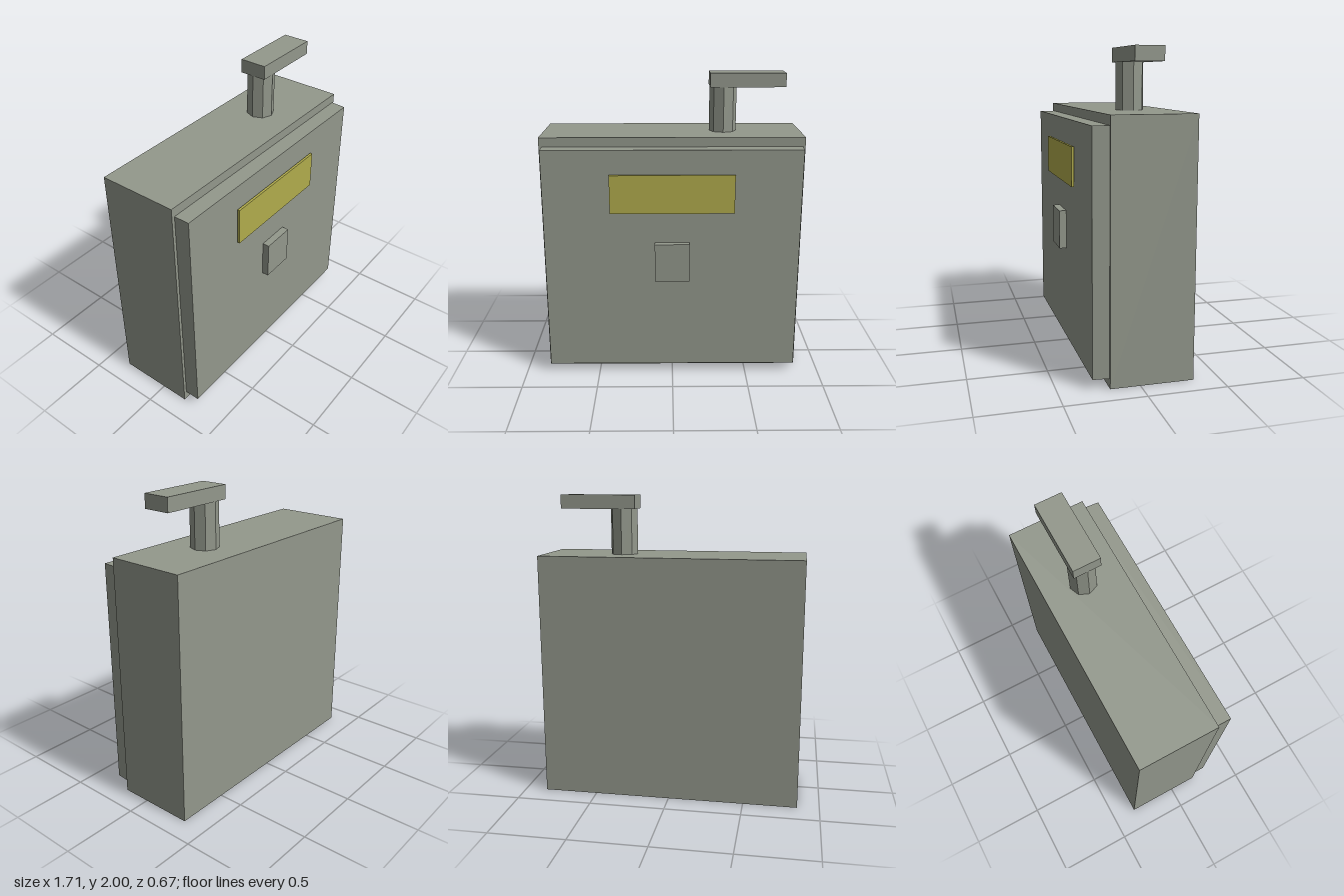
import * as THREE from 'three';

export function createModel() {
  const model = new THREE.Group();

  const grey = new THREE.MeshStandardMaterial({ color: 0x93988c });
  grey.name = 'grey green metal';
  const yellow = new THREE.MeshStandardMaterial({ color: 0xb0ab4c });
  yellow.name = 'yellow plate';

  const add = (name, geometry, material, x, y, z) => {
    const mesh = new THREE.Mesh(geometry, material);
    mesh.name = name;
    mesh.position.set(x, y, z);
    model.add(mesh);
    return mesh;
  };

  // Box given by its lower and upper corners
  const box = (name, material, [x0, y0, z0], [x1, y1, z1]) =>
    add(name, new THREE.BoxGeometry(x1 - x0, y1 - y0, z1 - z0), material,
      (x0 + x1) / 2, (y0 + y1) / 2, (z0 + z1) / 2);

  box('cabinet', grey, [-0.856, 0, -0.337], [0.855, 1.615, 0.188]);

  // Door, its left side widening slightly towards the cabinet
  const door = box('door', grey, [-0.835, 0.06, 0.188], [0.832, 1.555, 0.29]);
  const p = door.geometry.attributes.position;
  for (let i = 0; i < p.count; i++) {
    if (p.getX(i) > 0 && p.getZ(i) < 0) p.setX(i, p.getX(i) + 0.008);
  }
  door.geometry.computeVertexNormals();

  // Details on the door
  box('labelPlate', yellow, [-0.403, 1.145, 0.298], [0.4, 1.397, 0.314]);
  box('latch', grey, [-0.115, 0.687, 0.29], [0.112, 0.943, 0.337]);

  // Octagonal post with a bar on top, offset to the left
  const post = new THREE.CylinderGeometry(0.09, 0.09, 0.3, 8).toNonIndexed();
  post.computeVertexNormals();
  add('post', post, grey, 0.338, 1.762, -0.075);
  box('topBar', grey, [0.248, 1.91, -0.166], [0.742, 2, 0.014]);

  return model;
}
